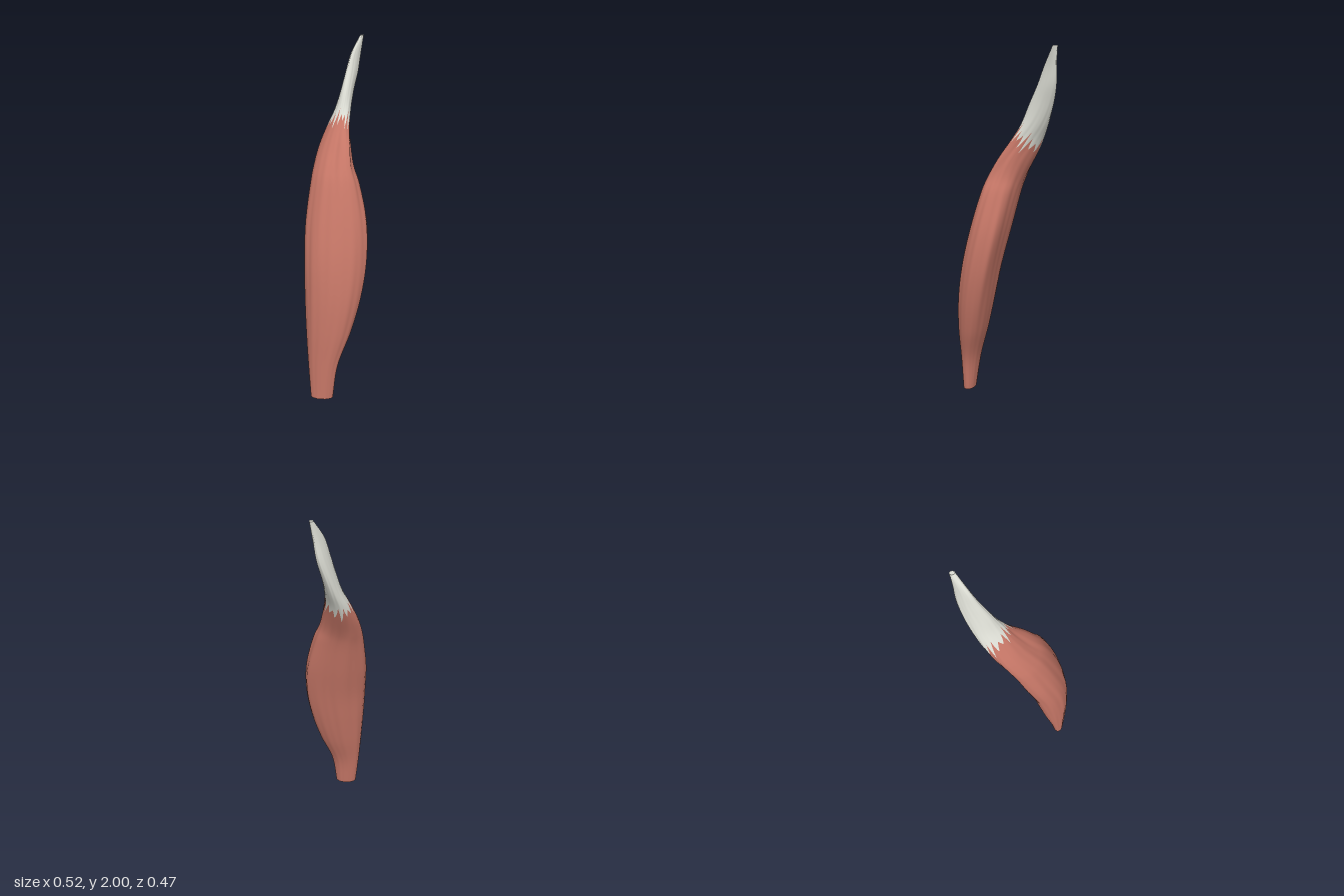
import * as THREE from 'three';

// Cross-sections: y, x min, x max, z min, z max, skew (tilt of the oval)
const SECTIONS = [
  [0.0, -0.255, -0.145, 0.085, 0.18, 0.5],
  [0.2, -0.258, -0.115, 0.055, 0.197, 0.45],
  [0.4, -0.257, -0.035, 0.02, 0.225, 0.38],
  [0.6, -0.25, 0.03, -0.01, 0.235, 0.35],
  [0.8, -0.235, 0.077, -0.04, 0.22, 0.34],
  [1.0, -0.203, 0.098, -0.085, 0.182, 0.33],
  [1.2, -0.15, 0.086, -0.13, 0.125, 0.27],
  [1.3, -0.113, 0.073, -0.16, 0.085, 0.22],
  [1.4, -0.065, 0.083, -0.19, 0.035, 0.15],
  [1.5, -0.01, 0.108, -0.213, -0.03, -0.1],
  [1.6, 0.046, 0.15, -0.226, -0.085, -0.4],
  [1.7, 0.085, 0.19, -0.232, -0.12, -0.57],
  [1.8, 0.125, 0.225, -0.23, -0.15, -0.58],
  [1.9, 0.165, 0.242, -0.22, -0.173, -0.55],
  [2.0, 0.235, 0.258, -0.215, -0.19, -0.3],
];
const centre = new THREE.CatmullRomCurve3(
  SECTIONS.map(([y, x0, x1, z0, z1]) => new THREE.Vector3((x0 + x1) / 2, y, (z0 + z1) / 2)), false, 'catmullrom');
const size = new THREE.CatmullRomCurve3(
  SECTIONS.map(([, x0, x1, z0, z1, k]) => new THREE.Vector3((x1 - x0) / 2, k, (z1 - z0) / 2)), false, 'catmullrom');
const COLS = 96;

// Ridges (+) and hollows (-): amount, section index, reach along, angle, reach around
const RELIEF = [
  [-0.13, 7.6, 1.4, 0.75, 0.4], // front groove below the neck
  [0.05, 4.5, 2.2, -0.15, 0.25], // sharp ridge on the left side
  [-0.14, 4.6, 2.2, -0.8, 0.4], // flat face behind the ridge
  [0.1, 5.2, 3.2, 3.85, 0.5], // full back right corner
  [0.18, 8.2, 1.2, -0.8, 0.5], // back left edge of the neck
  [-0.2, 7.9, 1.8, 2.2, 0.55], // flattened front right of the neck
];

// Point on the skin at height parameter s (0..1) and angle t
function skinPoint(s, t) {
  const c = centre.getPoint(s), r = size.getPoint(s);
  // lengthwise fibres
  let f = 1 + 0.01 * Math.sin(9 * t + s * 7) + 0.007 * Math.sin(17 * t - s * 11);
  for (const [amount, at, along, angle, around] of RELIEF) {
    const v = (s * 14 - at) / along, u = Math.sin((t - angle) / 2) * 2 / around;
    f += amount * Math.exp(-u * u - v * v);
  }
  return new THREE.Vector3(
    c.x + r.x * f * Math.cos(t), c.y, c.z + r.z * f * Math.sin(t + Math.asin(r.y)));
}

// Ragged line where the muscle turns into tendon, lowest at the back left
function seam(j) {
  const t = (j / COLS) * Math.PI * 2;
  const tooth = Math.abs((j % 6) - 3) / 3 - 0.5;
  const height = 0.1 - 0.45 * Math.cos(t + 0.75) + tooth * (0.7 + 0.4 * Math.sin(5 * t));
  return (9 + height) / 14;
}

// Closed skin between two heights given per column, with a flat cap at one end
function loft(from, to, rows, capRow) {
  const pos = [], idx = [];
  for (let i = 0; i <= rows; i++) {
    for (let j = 0; j < COLS; j++) {
      const s = THREE.MathUtils.lerp(from(j), to(j), i / rows);
      pos.push(...skinPoint(s, (j / COLS) * Math.PI * 2).toArray());
    }
  }
  for (let i = 0; i < rows; i++) {
    for (let j = 0; j < COLS; j++) {
      const a = i * COLS + j, c = i * COLS + (j + 1) % COLS;
      idx.push(a, a + COLS, c, a + COLS, c + COLS, c);
    }
  }
  // cap with its own vertices so the rim stays sharp
  const start = pos.length / 3;
  for (let j = 0; j < COLS; j++) {
    const k = (capRow * COLS + j) * 3;
    pos.push(pos[k], pos[k + 1], pos[k + 2]);
  }
  pos.push(...centre.getPoint(capRow ? 1 : 0).toArray());
  for (let j = 0; j < COLS; j++) {
    const a = start + j, b = start + (j + 1) % COLS;
    idx.push(start + COLS, ...(capRow ? [b, a] : [a, b]));
  }
  const geo = new THREE.BufferGeometry();
  geo.setAttribute('position', new THREE.Float32BufferAttribute(pos, 3));
  geo.setIndex(idx);
  geo.computeVertexNormals();
  return geo;
}

export function createModel() {
  const group = new THREE.Group();
  group.name = 'muscleWithTendon';
  const add = (name, geo, color) => {
    const mesh = new THREE.Mesh(geo, new THREE.MeshStandardMaterial({ color }));
    mesh.name = name;
    group.add(mesh);
  };
  add('muscleBelly', loft(() => 0, seam, 64, 0), 0xc87868);
  add('tendon', loft(seam, () => 1, 28, 28), 0xdedfd6);
  return group;
}
